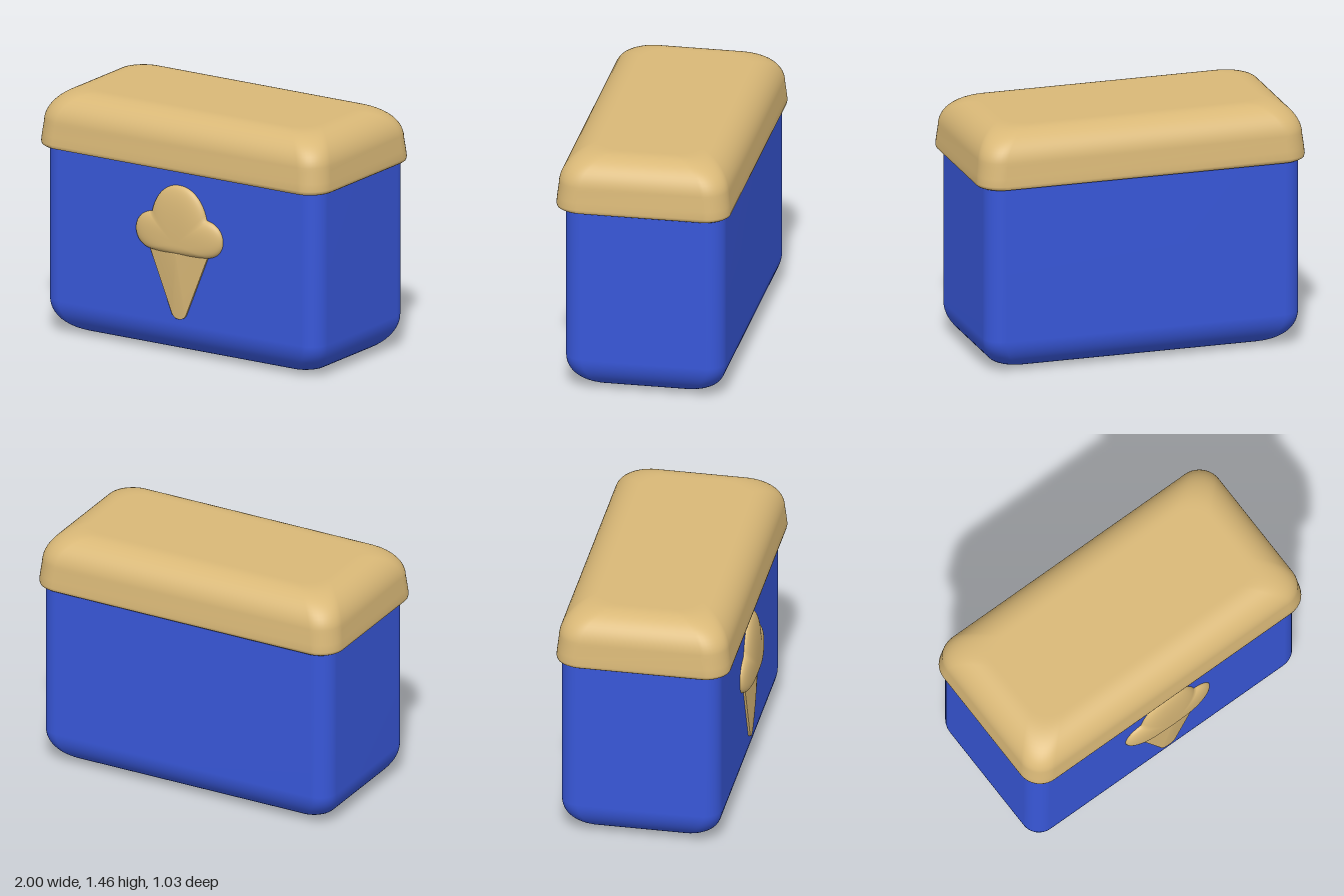
import * as THREE from 'three';

const blue = new THREE.MeshStandardMaterial({ color: 0x3857d8 });
blue.name = 'blue';
const tan = new THREE.MeshStandardMaterial({ color: 0xd9b877 });
tan.name = 'tan';

// Skin a stack of equal-length loops; end caps keep their own vertices so they stay flat.
function loft(name, loops, material) {
  const pos = [], index = [], n = loops[0].length;
  const add = (p) => pos.push(p.x, p.y, p.z) / 3 - 1;
  loops.forEach((loop, k) => {
    loop.forEach(add);
    if (k === 0) return;
    for (let i = 0; i < n; i++) {
      const j = (i + 1) % n, a = (k - 1) * n, b = k * n;
      index.push(a + i, a + j, b + j, a + i, b + j, b + i);
    }
  });
  [loops[0], loops[loops.length - 1]].forEach((loop, end) => {
    const mid = loop.reduce((s, p) => s.add(p), new THREE.Vector3()).divideScalar(n);
    const c = add(mid), first = c + 1;
    loop.forEach(add);
    for (let i = 0; i < n; i++) {
      const a = first + i, b = first + (i + 1) % n;
      if (end) index.push(c, a, b);
      else index.push(c, b, a);
    }
  });
  const geometry = new THREE.BufferGeometry();
  geometry.setAttribute('position', new THREE.Float32BufferAttribute(pos, 3));
  geometry.setIndex(index);
  geometry.computeVertexNormals();
  const mesh = new THREE.Mesh(geometry, material);
  mesh.name = name;
  return mesh;
}

// Horizontal rounded rectangle at height y, counter-clockwise from above.
function roundedLoop(hx, hz, r, y, cz) {
  const loop = [], steps = 10;
  [[1, 1], [-1, 1], [-1, -1], [1, -1]].forEach(([sx, sz], q) => {
    for (let i = 0; i <= steps; i++) {
      const a = (q + i / steps) * Math.PI / 2;
      loop.push(new THREE.Vector3(sx * (hx - r) + r * Math.cos(a), y, cz - sz * (hz - r) - r * Math.sin(a)));
    }
  });
  return loop;
}

// Box whose side profile is a list of [inset, height] pairs.
function softBox(name, hx, hz, r, cz, profile, material) {
  return loft(name, profile.map(([d, y]) => roundedLoop(hx - d, hz - d, r, y, cz)), material);
}

// Quarter-ellipse edge as [inset, height] pairs, running from the side wall to the flat.
function roundedEdge(inset, y, rx, ry) {
  return Array.from({ length: 15 }, (_, i) => {
    const a = i / 14 * Math.PI / 2;
    return [inset + rx * (1 - Math.cos(a)), y + ry * Math.sin(a)];
  });
}

// Domed relief: mirror a right-half outline and shrink it towards (0, cy) while rising in z.
function relief(name, half, cy, height, material) {
  const right = half.getPoints(12);
  const left = right.slice(1, -1).reverse().map((p) => new THREE.Vector2(-p.x, p.y));
  const outline = [...right, ...left];
  const ring = (s, z) => outline.map((p) => new THREE.Vector3(p.x * s, cy + (p.y - cy) * s, z));
  const loops = [ring(1, 0.45)];
  for (let i = 0; i <= 20; i++) {
    const s = Math.max(Math.cos(i / 20 * Math.PI / 2), 0.03);
    loops.push(ring(s, 0.46 + height(s)));
  }
  return loft(name, loops, material);
}

export function createModel() {
  const model = new THREE.Group();
  model.name = 'coolBox';

  // Tub with rounded bottom edges
  const bottom = roundedEdge(0, 0.2, 0.2, -0.2).reverse();
  model.add(softBox('tub', 0.96, 0.4725, 0.11, -0.0125, [...bottom, [0, 0.7], [0, 1.16]], blue));

  // Overhanging lid, slightly flared towards its lower rim
  const rim = [[0.03, 1.13], [0.012, 1.131], [0.003, 1.139], [0, 1.155], [0.004, 1.2]];
  const crown = roundedEdge(0.012, 1.27, 0.2, 0.19);
  model.add(softBox('lid', 1, 0.515, 0.14, 0, [...rim, ...crown, [0.23, 1.46]], tan));

  // Ice cream emblem on the front
  const emblem = new THREE.Group();
  emblem.name = 'iceCreamEmblem';

  const scoop = new THREE.Shape();
  scoop.moveTo(0, 0.62);
  scoop.quadraticCurveTo(0.12, 0.62, 0.2, 0.63);
  scoop.bezierCurveTo(0.26, 0.637, 0.303, 0.68, 0.303, 0.74);
  scoop.bezierCurveTo(0.303, 0.8, 0.26, 0.845, 0.19, 0.856);
  scoop.bezierCurveTo(0.165, 0.97, 0.09, 1.038, 0, 1.038);
  emblem.add(relief('scoop', scoop, 0.69, (s) => 0.055 * Math.sqrt(1 - s ** 3), tan));

  const cone = new THREE.Shape();
  cone.moveTo(0, 0.23);
  cone.quadraticCurveTo(0.035, 0.23, 0.05, 0.262);
  cone.lineTo(0.2, 0.63);
  cone.lineTo(0.2, 0.66);
  cone.lineTo(0, 0.66);
  emblem.add(relief('cone', cone, 0.63, (s) => 0.012 + 0.03 * (1 - s ** 1.4), tan));

  model.add(emblem);
  return model;
}
